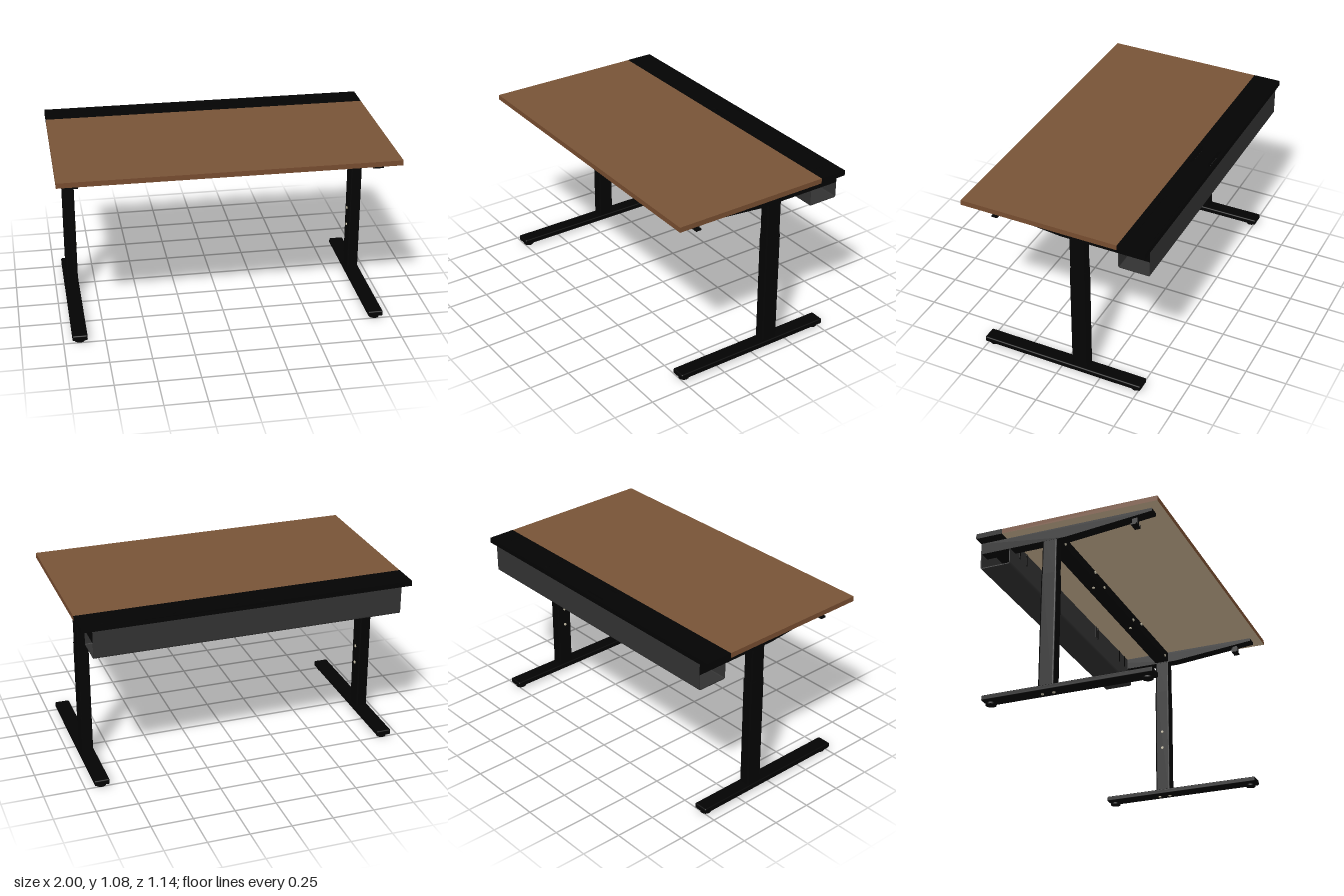
import * as THREE from 'three';
import { RoundedBoxGeometry } from 'three/addons/geometries/RoundedBoxGeometry.js';

const mat = (name, color) => {
  const m = new THREE.MeshStandardMaterial({ color });
  m.name = name;
  return m;
};

export function createModel() {
  const desk = new THREE.Group();
  desk.name = 'standingDesk';

  const black = mat('black steel', 0x030303);
  const wood = mat('walnut top', 0x785437);
  const edge = mat('walnut edge', 0x774d30);
  const under = mat('pale underside', 0xd2b998);
  const grey = mat('charcoal tray', 0x323232);
  const metal = mat('screw metal', 0xc8c0a8);

  const add = (name, geo, m, x = 0, y = 0, z = 0, parent = desk) => {
    const mesh = new THREE.Mesh(geo, m);
    mesh.name = name;
    mesh.position.set(x, y, z);
    parent.add(mesh);
  };
  // box given by its limits on each axis
  const box = (name, m, x0, x1, y0, y1, z0, z1, parent = desk) =>
    add(name, new THREE.BoxGeometry(x1 - x0, y1 - y0, z1 - z0), m,
      (x0 + x1) / 2, (y0 + y1) / 2, (z0 + z1) / 2, parent);
  const outline = pts => pts.map(p => new THREE.Vector2(...p));
  const rounded = (w, d, r) => {
    const s = new THREE.Shape(), a = w / 2 - r, b = d / 2 - r;
    s.absarc(a, b, r, 0, Math.PI / 2);
    s.absarc(-a, b, r, Math.PI / 2, Math.PI);
    s.absarc(-a, -b, r, Math.PI, Math.PI * 1.5);
    s.absarc(a, -b, r, Math.PI * 1.5, Math.PI * 2);
    return s;
  };
  // outline in (x, -z), extruded upwards
  const upward = (shape, height) => {
    const g = new THREE.ExtrudeGeometry(shape, { depth: height, bevelEnabled: false, curveSegments: 6 });
    return g.rotateX(-Math.PI / 2);
  };
  // outline in (z, y), extruded across x and centred
  const across = (shape, width) => {
    const g = new THREE.ExtrudeGeometry(shape, { depth: width, bevelEnabled: false, curveSegments: 5 });
    return g.translate(0, 0, -width / 2).rotateY(-Math.PI / 2);
  };
  const screw = (x, y, z, axis, parent = desk) => {
    const g = new THREE.CylinderGeometry(0.009, 0.009, 0.008, 12);
    if (axis === 'x') g.rotateZ(Math.PI / 2);
    if (axis === 'z') g.rotateX(Math.PI / 2);
    add('screw', g, metal, x, y, z, parent);
  };

  // Table top: wooden panel with pale underside
  add('woodenTop', new THREE.BoxGeometry(2, 0.031, 0.972),
    [edge, edge, wood, under, edge, edge], 0, 1.0575, 0.084);

  // Rear service strip with two finger openings above the cable tray
  const strip = new THREE.Shape(outline([[-1, 0.402], [1, 0.402], [1, 0.572], [-1, 0.572]]));
  strip.holes.push(
    new THREE.Path(outline([[-0.1, 0.554], [0.1, 0.554], [0.07, 0.535], [-0.07, 0.535]])),
    new THREE.Path(outline([[-0.1, 0.427], [0.1, 0.427], [0.07, 0.446], [-0.07, 0.446]])));
  add('rearStrip', upward(strip, 0.032), black, 0, 1.042, 0);

  // Raised pen tray on the strip
  const rim = rounded(0.45, 0.145, 0.03);
  rim.holes.push(rounded(0.42, 0.08, 0.035));
  add('penTray', upward(rim, 0.004), black, 0.67, 1.074, -0.487);

  // Cross beam joining both legs
  box('crossBeam', black, -0.9, 0.9, 0.977, 1.04, -0.168, -0.078);
  for (const x of [-0.82, -0.24, 0.235, 0.81]) screw(x, 0.995, -0.076, 'z');
  for (const x of [-0.385, 0.375]) screw(x, 1.028, -0.076, 'z');
  for (const x of [-0.3, 0.3]) screw(x, 0.975, -0.123, 'y');

  // Cable tray: thin U channel, open at both ends
  const u = new THREE.Shape();
  const r = 0.012, t = 0.006, zB = -0.57, zF = -0.378, yB = 0.873, yT = 1.042;
  u.moveTo(zB, yT);
  u.lineTo(zB, yB + r);
  u.quadraticCurveTo(zB, yB, zB + r, yB);
  u.lineTo(zF - r, yB);
  u.quadraticCurveTo(zF, yB, zF, yB + r);
  u.lineTo(zF, yT);
  u.lineTo(zF - t, yT);
  u.lineTo(zF - t, yB + r);
  u.quadraticCurveTo(zF - t, yB + t, zF - r, yB + t);
  u.lineTo(zB + r, yB + t);
  u.quadraticCurveTo(zB + t, yB + t, zB + t, yB + r);
  u.lineTo(zB + t, yT);
  add('cableTray', across(u, 1.87), grey);

  // Hangers on the front wall of the tray
  for (const x of [-0.81, -0.72, -0.35, -0.32, 0.32, 0.35, 0.72, 0.81])
    box('trayHanger', black, x - 0.006, x + 0.006, 0.965, 1.042, -0.379, -0.375);

  // Leg assemblies, mirrored left and right
  for (const s of [-1, 1]) {
    const leg = new THREE.Group();
    leg.name = s > 0 ? 'leftLeg' : 'rightLeg';
    leg.position.z = -0.003;
    desk.add(leg);
    const x = s * 0.902, z = -0.12;

    add('lowerColumn', upward(rounded(0.072, 0.1, 0.012), 0.71), black, x, 0.045, z, leg);
    add('upperColumn', upward(rounded(0.066, 0.094, 0.01), 0.225), black, x, 0.755, z, leg);
    add('foot', new RoundedBoxGeometry(0.09, 0.034, 1.03, 3, 0.008), black, x, 0.034, 0, leg);

    // Levelling pads under the foot
    for (const pz of [-0.472, 0.472]) {
      add('padStem', new THREE.CylinderGeometry(0.012, 0.012, 0.014, 12), metal, x, 0.013, pz, leg);
      add('levellingPad', new THREE.CylinderGeometry(0.031, 0.031, 0.01, 24), black, x, 0.005, pz, leg);
    }
    for (const dz of [-0.035, 0.035]) screw(x, 0.016, z + dz, 'y', leg);
    for (const y of [0.345, 0.46]) screw(x - s * 0.037, y, z, 'x', leg);

    // Tapered support arm below the top
    const arm = new THREE.Shape(outline(
      [[0.515, 1.042], [0.515, 1.023], [-0.025, 0.971], [-0.565, 0.971], [-0.565, 1.042]]));
    add('supportArm', across(arm, 0.068), black, x, 0, 0, leg);

    // Hook near the front
    box('hookStem', black, x - 0.012, x + 0.012, 0.963, 1.03, 0.384, 0.418, leg);
    box('hookFoot', black, x - 0.03, x + 0.03, 0.963, 0.973, 0.384, 0.418, leg);
    box('hookLip', black, x - s * 0.03 - 0.004, x - s * 0.03 + 0.004, 0.963, 0.988, 0.384, 0.418, leg);
  }

  return desk;
}
